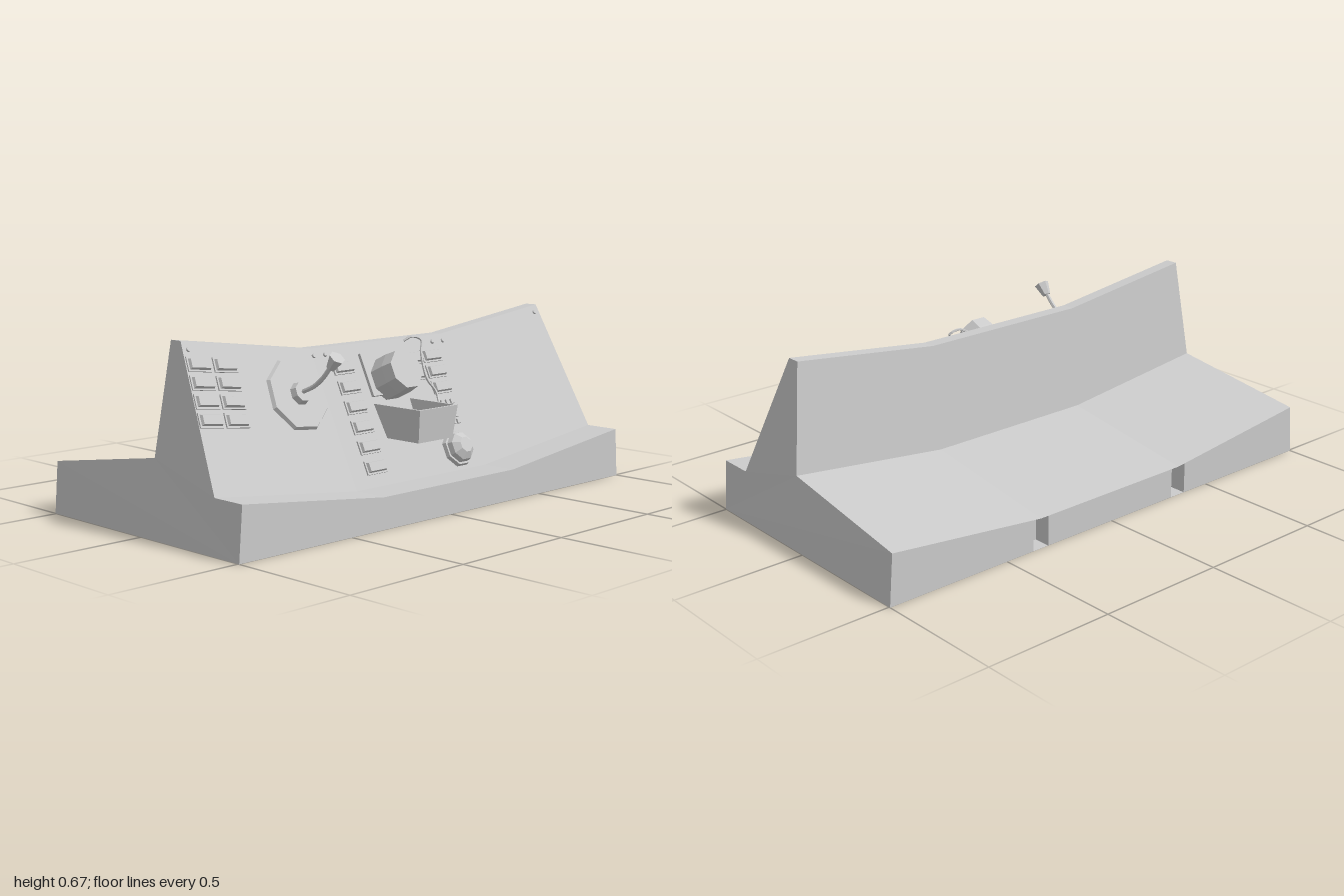
import * as THREE from 'three';

const MID = 0.345, END_Y = 0.19, DROP = 0.075;
const mat = new THREE.MeshStandardMaterial({ color: 0xcccccc, flatShading: true, side: THREE.DoubleSide });

function mesh(name, geometry, parent) {
  const m = new THREE.Mesh(geometry, mat);
  m.name = name;
  parent.add(m);
  return m;
}

// Desk body: one profile lofted along x, lower in the middle, with two slots in the rear wall
function bodyGeometry() {
  const profile = (rear) => [ // z, y, half width at the ends
    [0.505, 0, 1], [0.505, 0.19, 0.985], [0.37, 0.19, 0.985], [0.135, 0.67, 0.925], [0.085, 0.67, 0.925],
    [0.05, 0.275, 0.975], [-0.505, 0.19, 0.985], [rear, 0.19, 0.985], [rear, 0, 1], [-0.505, 0, 1],
  ];
  const half = [[0.31, 0], [0.31, 1], [MID, 1], [0.38, 1], [0.38, 0], [1, 0]];
  const stations = [...half.map(([t, s]) => [-t, s]).reverse(), ...half];
  const rings = stations.map(([t, slot]) => {
    const s = Math.max(0, (Math.abs(t) - MID) / (1 - MID));
    return profile(slot ? -0.44 : -0.505).map(([z, y, w]) => [
      s > 0 ? Math.sign(t) * (MID + s * (w - MID)) : t,
      y > 0 ? y - DROP * (1 - s) : 0, z]);
  });
  const n = rings[0].length, pos = [], index = [];
  rings.forEach((r) => r.forEach((p) => pos.push(...p)));
  for (let i = 0; i < rings.length - 1; i++) {
    for (let j = 0; j < n; j++) {
      const k = (j + 1) % n, a = i * n + j, b = a + n, c = (i + 1) * n + k, d = i * n + k;
      index.push(a, b, c, a, c, d);
    }
  }
  // End caps; the two coincident rear points are left out of the outline
  const ids = [0, 1, 2, 3, 4, 5, 6, 9], last = (rings.length - 1) * n;
  const outline = ids.map((i) => new THREE.Vector2(rings[0][i][2], rings[0][i][1]));
  for (const [a, b, c] of THREE.ShapeUtils.triangulateShape(outline, [])) {
    index.push(ids[a], ids[b], ids[c], last + ids[a], last + ids[c], last + ids[b]);
  }
  const g = new THREE.BufferGeometry();
  g.setAttribute('position', new THREE.Float32BufferAttribute(pos, 3));
  g.setIndex(index);
  const flat = g.toNonIndexed();
  flat.computeVertexNormals();
  return flat;
}

// Point on the sloping control panel for a given x and y
const SLOPE = 0.4845;
function onPanel(x, y, out = 0) {
  const base = END_Y - DROP + 0.115 * Math.max(0, Math.abs(x) - MID);
  return new THREE.Vector3(x, y + out * 0.436, 0.37 - SLOPE * (y - base) + out * 0.9);
}

// Group standing on the panel: local x along it, local y up it, local z out of it
function mount(name, x, y, parent) {
  const tilt = Math.abs(x) > MID + 0.001 ? 0.115 * Math.sign(x) : 0;
  const right = new THREE.Vector3(1, tilt, 0).normalize();
  const out = new THREE.Vector3(-SLOPE * tilt, SLOPE, 1).normalize();
  const up = new THREE.Vector3().crossVectors(out, right);
  const g = new THREE.Group();
  g.name = name;
  g.quaternion.setFromRotationMatrix(new THREE.Matrix4().makeBasis(right, up, out));
  g.position.copy(onPanel(x, y));
  parent.add(g);
  return g;
}

// Upright prism standing out of the panel from z0 to z1
function prism(name, parent, r0, r1, z0, z1, sides = 8) {
  const g = new THREE.CylinderGeometry(r1, r0, z1 - z0, sides);
  g.rotateY(Math.PI / sides).rotateX(Math.PI / 2).translate(0, 0, (z0 + z1) / 2);
  return mesh(name, g, parent);
}

function plate(name, parent, w, h, d) {
  return mesh(name, new THREE.BoxGeometry(w, h, d).translate(0, 0, d / 2), parent);
}

// Push button: low frame with a bevelled cap
function button(x, y, parent) {
  const g = mount('button', x, y, parent);
  plate('buttonFrame', g, 0.1, 0.052, 0.006);
  const cap = new THREE.BoxGeometry(0.09, 0.042, 0.014);
  const p = cap.attributes.position;
  for (let i = 0; i < p.count; i++) {
    if (p.getZ(i) > 0) p.setXY(i, p.getX(i) * 0.88, p.getY(i) * 0.75);
  }
  cap.translate(0, 0, 0.009);
  mesh('buttonCap', cap, g);
}

export function createModel() {
  const model = new THREE.Group();
  model.name = 'controlConsole';
  mesh('consoleBody', bodyGeometry(), model);

  // Button banks
  for (let r = 0; r < 4; r++) {
    button(-0.88 - r * 0.008, 0.59 - r * 0.058, model);
    button(-0.768 - r * 0.008, 0.577 - r * 0.058, model);
  }
  for (let r = 0; r < 6; r++) button(-0.22, 0.52 - r * 0.068, model);
  for (let r = 0; r < 3; r++) button(0.248, 0.522 - r * 0.057, model);
  for (let r = 0; r < 2; r++) button(0.138, 0.522 - r * 0.057, model);

  // Small keypad
  for (let r = 0; r < 4; r++) {
    for (let c = 0; c < 3; c++) {
      plate('key', mount('keypadKey', 0.222 + c * 0.026, 0.352 - r * 0.024, model), 0.018, 0.018, 0.01);
    }
  }

  // Panel screws
  for (const [x, y] of [[-0.905, 0.64], [0.9, 0.64], [-0.34, 0.57], [-0.285, 0.57], [0.28, 0.57], [0.34, 0.57]]) {
    prism('screw', mount('screwMount', x, y, model), 0.009, 0.007, 0, 0.006);
  }

  // Lever on its octagonal dial
  const dial = mount('leverBase', -0.48, 0.452, model);
  prism('leverDial', dial, 0.138, 0.13, -0.002, 0.012);
  prism('leverHub', dial, 0.042, 0.036, 0.01, 0.035);
  const stalk = new THREE.CatmullRomCurve3([
    new THREE.Vector3(-0.48, 0.463, 0.235), new THREE.Vector3(-0.478, 0.492, 0.3),
    new THREE.Vector3(-0.474, 0.525, 0.34), new THREE.Vector3(-0.47, 0.568, 0.375)]);
  mesh('leverStalk', new THREE.TubeGeometry(stalk, 10, 0.008, 6), model);
  const grip = mesh('leverGrip', new THREE.CylinderGeometry(0.029, 0.017, 0.05, 6), model);
  grip.position.set(-0.469, 0.579, 0.387);
  grip.rotation.x = 0.68;

  // Octagonal scope on a square back plate
  plate('scopePlate', mount('scopePlateMount', -0.025, 0.482, model), 0.2, 0.165, 0.012);
  const scope = mount('scope', -0.027, 0.46, model);
  prism('scopeHousing', scope, 0.082, 0.082, 0, 0.07);
  prism('scopeHood', scope, 0.082, 0.076, 0.07, 0.116);

  // Open tray below the scope, narrowing towards its floor
  const rect = (C, a, b, c, d) => {
    const s = new C();
    s.moveTo(a, b).lineTo(c, b).lineTo(c, d).lineTo(a, d).closePath();
    return s;
  };
  const rim = rect(THREE.Shape, -0.1, -0.465, 0.1, -0.215);
  rim.holes.push(rect(THREE.Path, -0.09, -0.455, 0.09, -0.225));
  const floor = rect(THREE.Shape, -0.1, -0.465, 0.1, -0.215);
  const tray = new THREE.Group();
  tray.name = 'tray';
  tray.position.set(-0.025, 0.265, 0);
  model.add(tray);
  for (const [name, shape, height] of [['trayWalls', rim, 0.12], ['trayFloor', floor, 0.008]]) {
    const g = new THREE.ExtrudeGeometry(shape, { depth: height, bevelEnabled: false }).rotateX(-Math.PI / 2);
    const p = g.attributes.position;
    for (let i = 0; i < p.count; i++) {
      const low = 1 - p.getY(i) / 0.12;
      p.setX(i, p.getX(i) * (1 - 0.1 * low));
      if (p.getZ(i) > 0.35) p.setZ(i, p.getZ(i) - 0.015 * low);
    }
    g.computeVertexNormals();
    mesh(name, g, tray);
  }

  // Handset dial with its loose cable
  const handset = mount('handset', 0.155, 0.315, model);
  prism('handsetDial', handset, 0.052, 0.046, 0, 0.018);
  prism('handsetKnob', handset, 0.022, 0.026, 0.018, 0.06);
  const cable = [[0.13, 0.585, 0], [0.16, 0.592, 0.02], [0.198, 0.575, 0.025], [0.178, 0.53, 0.022],
    [0.165, 0.44, 0.02], [0.19, 0.39, 0.02], [0.16, 0.33, 0.04]].map((p) => onPanel(...p));
  mesh('cable', new THREE.TubeGeometry(new THREE.CatmullRomCurve3(cable), 32, 0.005, 5), model);

  // Faceted dome button
  const dome = mount('dome', 0.218, 0.188, model);
  prism('domeRing', dome, 0.072, 0.068, 0, 0.015);
  prism('domeSide', dome, 0.06, 0.055, 0.015, 0.035);
  prism('domeTop', dome, 0.055, 0.03, 0.035, 0.055);
  return model;
}
